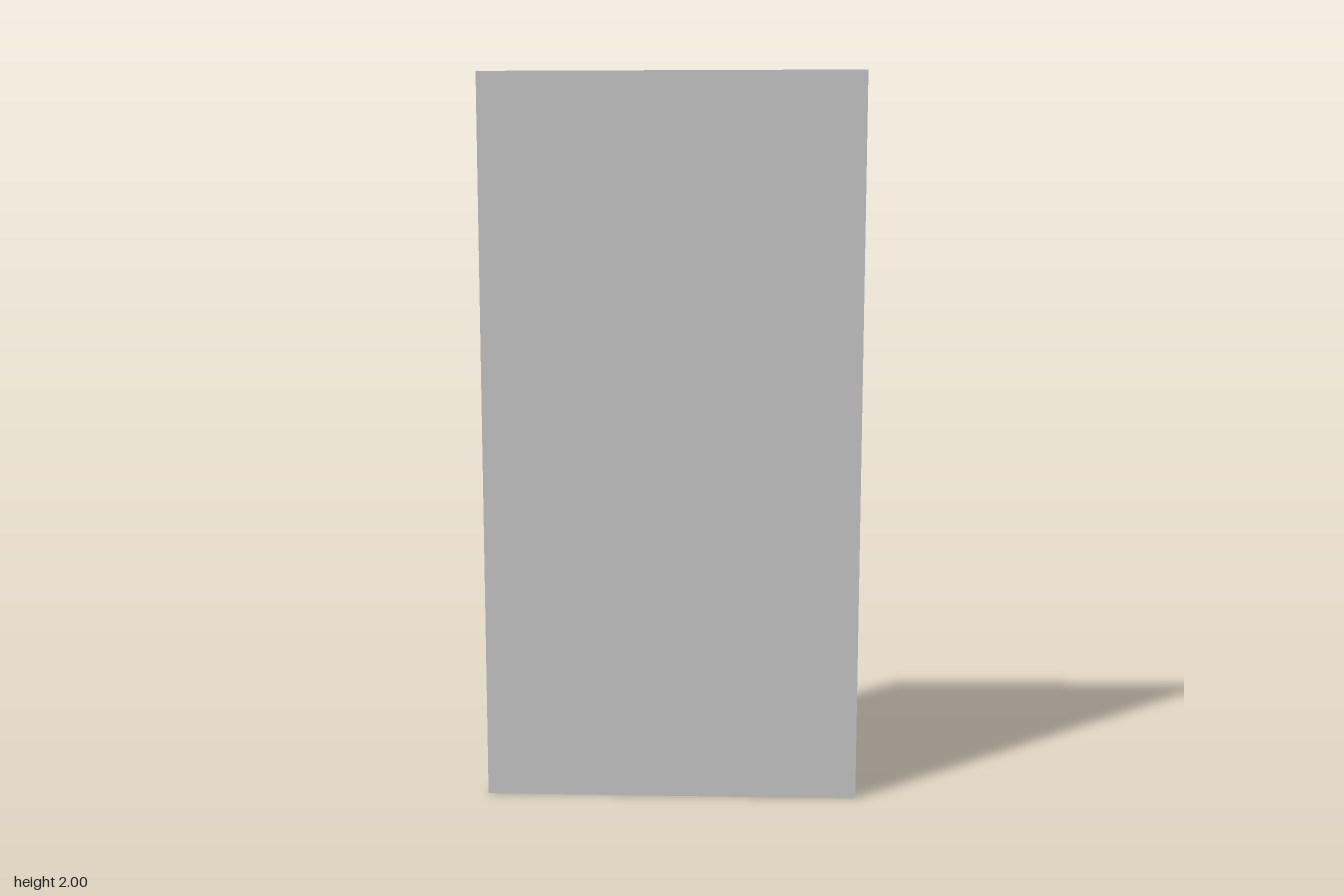
import * as THREE from 'three';

const material = new THREE.MeshStandardMaterial({ color: 0xcccccc, flatShading: true });

// Box given by its extents on each axis
function block(name, [x0, x1], [y0, y1], [z0, z1]) {
  const mesh = new THREE.Mesh(new THREE.BoxGeometry(x1 - x0, y1 - y0, z1 - z0), material);
  mesh.name = name;
  mesh.position.set((x0 + x1) / 2, (y0 + y1) / 2, (z0 + z1) / 2);
  return mesh;
}

// Bar with chamfered edges around its back face
function chamferedBar(name, [x0, x1], [y0, y1], [z0, z1], inset, depth) {
  const w = x1 - x0, h = y1 - y0, d = z1 - z0;
  const geometry = new THREE.BoxGeometry(w, h, d, 1, 1, 2);
  const p = geometry.attributes.position;
  for (let i = 0; i < p.count; i++) {
    if (Math.abs(p.getZ(i)) < 1e-6) p.setZ(i, -d / 2 + depth);
    else if (p.getZ(i) < 0) {
      p.setX(i, p.getX(i) - Math.sign(p.getX(i)) * inset);
      p.setY(i, p.getY(i) - Math.sign(p.getY(i)) * inset);
    }
  }
  geometry.computeVertexNormals();
  const mesh = new THREE.Mesh(geometry, material);
  mesh.name = name;
  mesh.position.set((x0 + x1) / 2, (y0 + y1) / 2, (z0 + z1) / 2);
  return mesh;
}

export function createModel() {
  const door = new THREE.Group();
  door.name = 'door';
  door.add(block('doorPanel', [-0.518, 0.518], [0, 2], [0.004, 0.036]));

  // Push bar assembly on the back of the panel
  const pushBar = new THREE.Group();
  pushBar.name = 'pushBarAssembly';
  pushBar.add(
    block('latchPlate', [0.367, 0.473], [0.89, 1.12], [-0.012, 0.004]),
    block('mountingRail', [-0.475, 0.472], [0.951, 1.057], [-0.0115, 0.004]),
    block('barHousing', [-0.358, 0.472], [0.951, 1.057], [-0.025, -0.0115]),
    chamferedBar('pushBar', [-0.371, 0.486], [0.942, 1.066], [-0.039, -0.025], 0.006, 0.004)
  );
  door.add(pushBar);
  return door;
}
